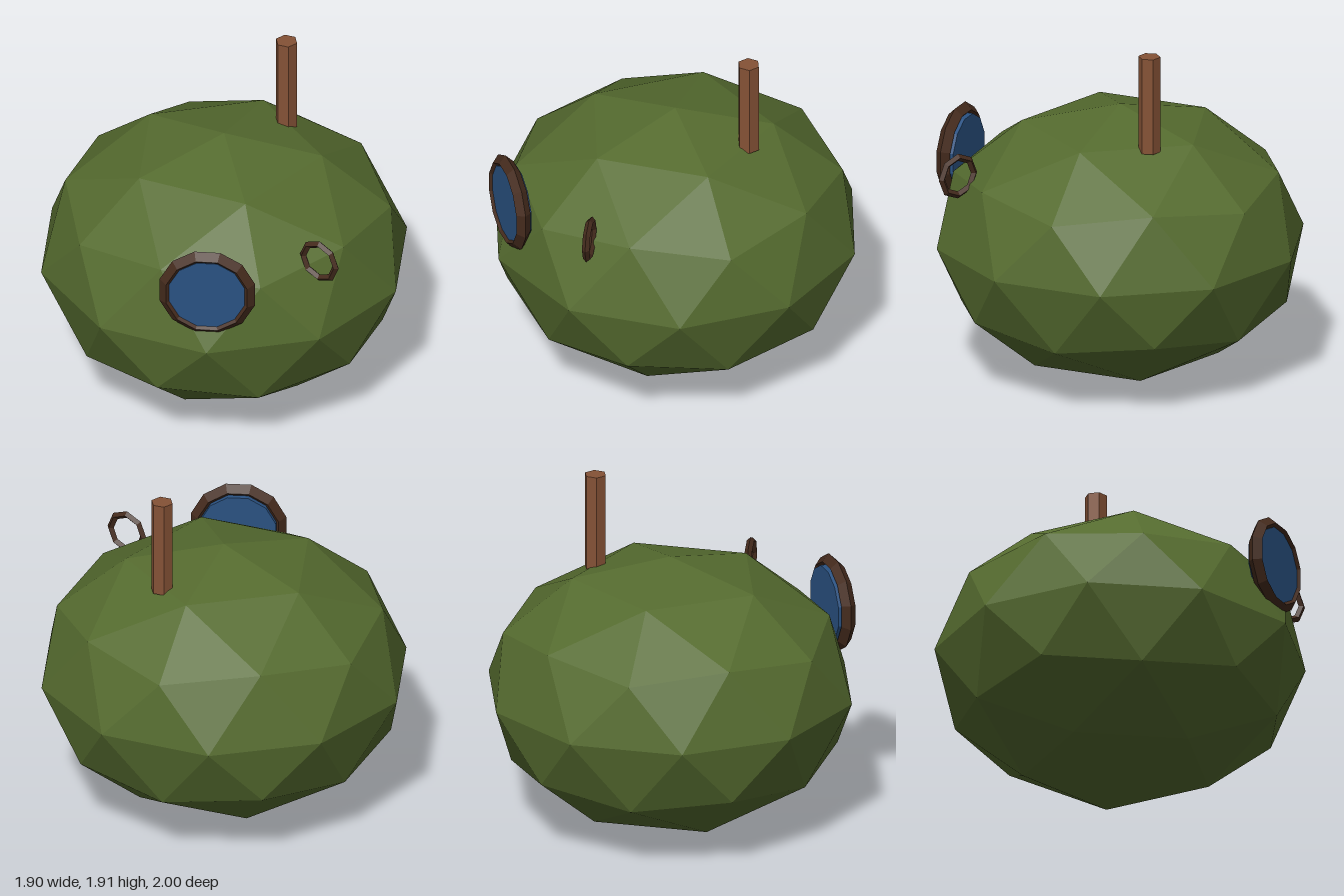
import * as THREE from 'three';

const mat = (name, color) => {
  const m = new THREE.MeshStandardMaterial({ color, flatShading: true });
  m.name = name;
  return m;
};

// Icosahedron with its poles on y, split once into 80 faces
function facetedBall() {
  const corners = [0, 1, 0];
  const ring = (y, offset) => {
    for (let i = 0; i < 5; i++) {
      const a = offset + i * Math.PI * 0.4;
      corners.push(Math.cos(a) * 2 * Math.abs(y), y, -Math.sin(a) * 2 * Math.abs(y));
    }
  };
  const h = 1 / Math.sqrt(5);
  ring(h, 0);
  ring(-h, Math.PI / 5);
  corners.push(0, -1, 0);
  const faces = [];
  for (let i = 0; i < 5; i++) {
    const j = (i + 1) % 5;
    const u = 1 + i, u2 = 1 + j, l = 6 + i, l2 = 6 + j;
    faces.push(0, u, u2, u, l, u2, u2, l, l2, 11, l2, l);
  }
  return new THREE.PolyhedronGeometry(corners, faces, 1, 1);
}

export function createModel() {
  const model = new THREE.Group();
  model.name = 'roundHouse';
  const green = mat('mossGreen', 0x556b2f);
  const brown = mat('chimneyBrown', 0x855236);
  const dark = mat('darkWood', 0x452b1d);
  const blue = mat('doorBlue', 0x2a5282);

  const add = (name, geometry, material, x, y, z) => {
    const mesh = new THREE.Mesh(geometry, material);
    mesh.name = name;
    mesh.position.set(x, y, z);
    model.add(mesh);
    return mesh;
  };

  // Squashed hill
  const hill = facetedBall();
  hill.scale(1, 0.75, 1);
  hill.computeVertexNormals();
  add('hill', hill, green, 0, 0.75, 0);

  // Six-sided chimney
  const chimney = add('chimney', new THREE.CylinderGeometry(0.06, 0.06, 0.535, 6), brown, 0.306, 1.638, -0.308);
  chimney.rotation.y = 0.25;

  // Round door inside a diamond-section frame
  const frame = add('doorFrame', new THREE.TorusGeometry(0.225, 0.04, 4, 12), dark, 0, 1.103, 0.936);
  frame.rotation.z = Math.PI / 12;
  const door = new THREE.CylinderGeometry(0.211, 0.211, 0.076, 12);
  door.rotateX(Math.PI / 2);
  add('door', door, blue, 0, 1.098, 0.923).rotation.z = Math.PI / 12;

  // Small open window ring
  const ring = add('windowRing', new THREE.TorusGeometry(0.106, 0.02, 4, 8), dark, 0.577, 1.175, 0.69);
  ring.rotation.y = -Math.PI / 6;

  return model;
}
